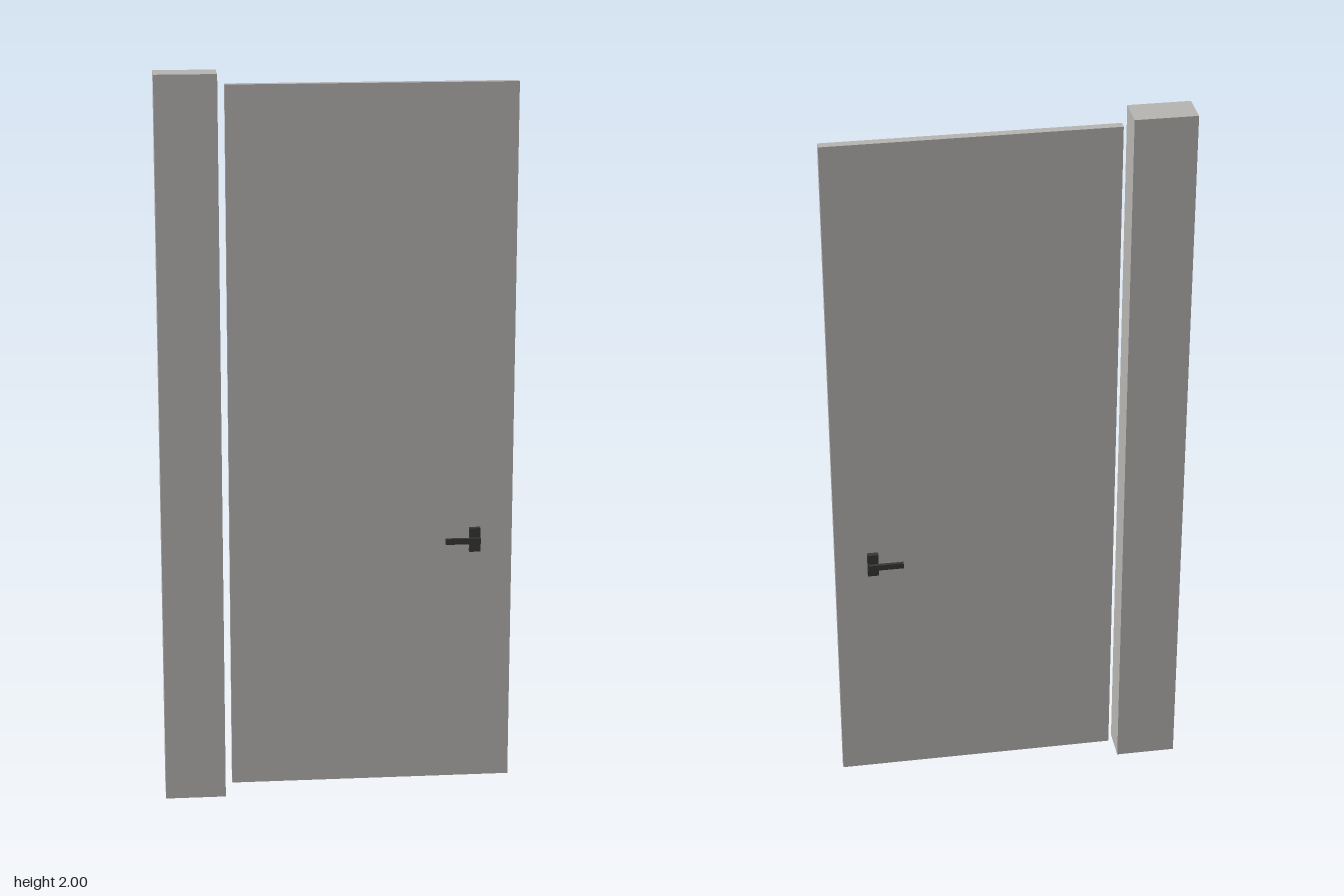
import * as THREE from 'three';

export function createModel() {
  const model = new THREE.Group();
  model.name = 'door';

  const panelGrey = new THREE.MeshStandardMaterial({ name: 'panel grey', color: 0xb8b6b3 });
  const handleBlack = new THREE.MeshStandardMaterial({ name: 'handle black', color: 0x373733 });

  // Box given by its lower and upper corners
  function box(name, material, [x0, y0, z0], [x1, y1, z1], parent) {
    const mesh = new THREE.Mesh(new THREE.BoxGeometry(x1 - x0, y1 - y0, z1 - z0), material);
    mesh.position.set((x0 + x1) / 2, (y0 + y1) / 2, (z0 + z1) / 2);
    mesh.name = name;
    parent.add(mesh);
  }

  // Side post and door leaf, with a narrow gap between them
  box('sidePost', panelGrey, [-0.48, 0, -0.047], [-0.315, 2, 0.047], model);
  box('doorLeaf', panelGrey, [-0.295, 0.026, -0.012], [0.478, 1.968, 0.012], model);

  // One handle on each face: backplate, thin spindle and lever
  for (const [side, sign] of [['front', 1], ['back', -1]]) {
    const handle = new THREE.Group();
    handle.name = side + 'Handle';
    const part = (name, x0, x1, y0, y1, zNear, zFar) => {
      const z = [sign * zNear, sign * zFar].sort((a, b) => a - b);
      box(name, handleBlack, [x0, y0, z[0]], [x1, y1, z[1]], handle);
    };
    part('backplate', 0.36, 0.39, 0.685, 0.752, 0.012, 0.026);
    part('spindle', 0.373, 0.379, 0.716, 0.722, 0.026, 0.031);
    part('lever', 0.293, 0.389, 0.711, 0.727, 0.031, 0.04);
    model.add(handle);
  }

  return model;
}
